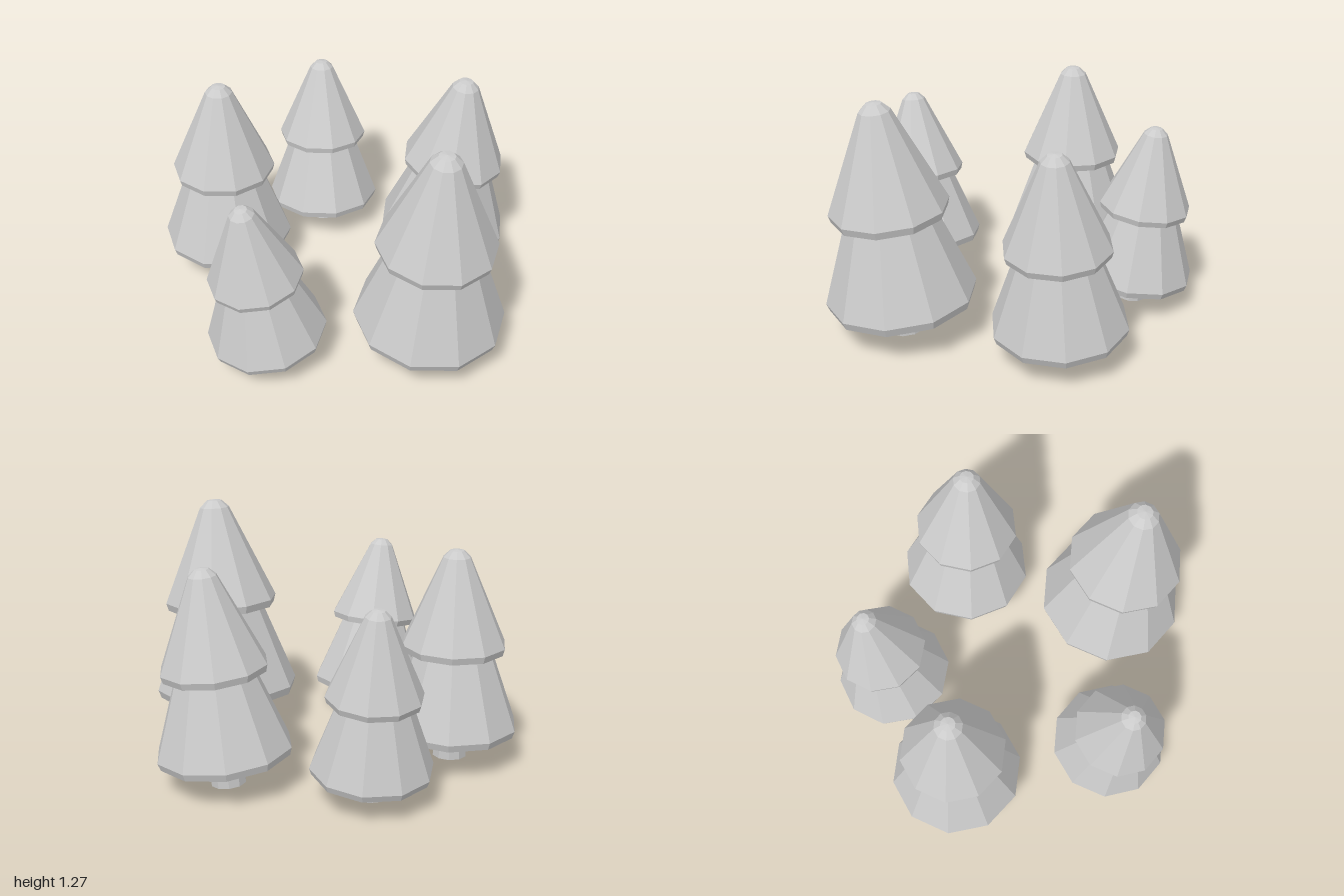
import * as THREE from 'three';

const SIDES = 10;
const material = new THREE.MeshStandardMaterial({ color: 0xcccccc, flatShading: true });

// Profiles [radius, height] for a tree one unit tall, bottom to top
const PROFILES = {
  trunk: [[0, 0], [0.081, 0], [0.081, 0.16], [0, 0.16]],
  lowerBranches: [[0, 0.133], [0.301, 0.133], [0.312, 0.167], [0.172, 0.55], [0, 0.55]],
  upperBranches: [[0, 0.525], [0.236, 0.525], [0.245, 0.557], [0.064, 0.965], [0.033, 0.995], [0, 1]],
};

const geometries = Object.fromEntries(Object.entries(PROFILES).map(([name, profile]) => [
  name,
  new THREE.LatheGeometry(profile.map(([r, y]) => new THREE.Vector2(r, y)), SIDES),
]));

// Each tree: foot of the trunk, tip of the crown, and turn about its own axis in degrees
const TREES = [
  { name: 'frontLeftTree', foot: [-0.65, 0.025, 0.36], tip: [-0.65, 1.138, 0.365], spin: -4 },
  { name: 'backLeftTree', foot: [-0.625, 0.02, -0.3], tip: [-0.7, 1.0, -0.36], spin: -7 },
  { name: 'backTree', foot: [0.028, 0.01, -0.62], tip: [0.123, 1.125, -0.68], spin: 8.5 },
  { name: 'frontTree', foot: [0.13, 0.02, 0.65], tip: [0.136, 0.993, 0.795], spin: -2 },
  { name: 'rightTree', foot: [0.592, 0.02, -0.01], tip: [0.714, 1.266, 0.025], spin: -2 },
];

function makeTree({ name, foot, tip, spin }) {
  const tree = new THREE.Group();
  tree.name = name;
  for (const [part, geometry] of Object.entries(geometries)) {
    const mesh = new THREE.Mesh(geometry, material);
    mesh.name = part;
    mesh.rotation.y = THREE.MathUtils.degToRad(spin);
    tree.add(mesh);
  }
  // Lean the tree from its foot toward its tip
  const axis = new THREE.Vector3(...tip).sub(new THREE.Vector3(...foot));
  tree.position.set(...foot);
  tree.scale.setScalar(axis.length());
  tree.quaternion.setFromUnitVectors(new THREE.Vector3(0, 1, 0), axis.normalize());
  return tree;
}

export function createModel() {
  const grove = new THREE.Group();
  grove.name = 'treeGrove';
  TREES.forEach((spec) => grove.add(makeTree(spec)));
  return grove;
}
